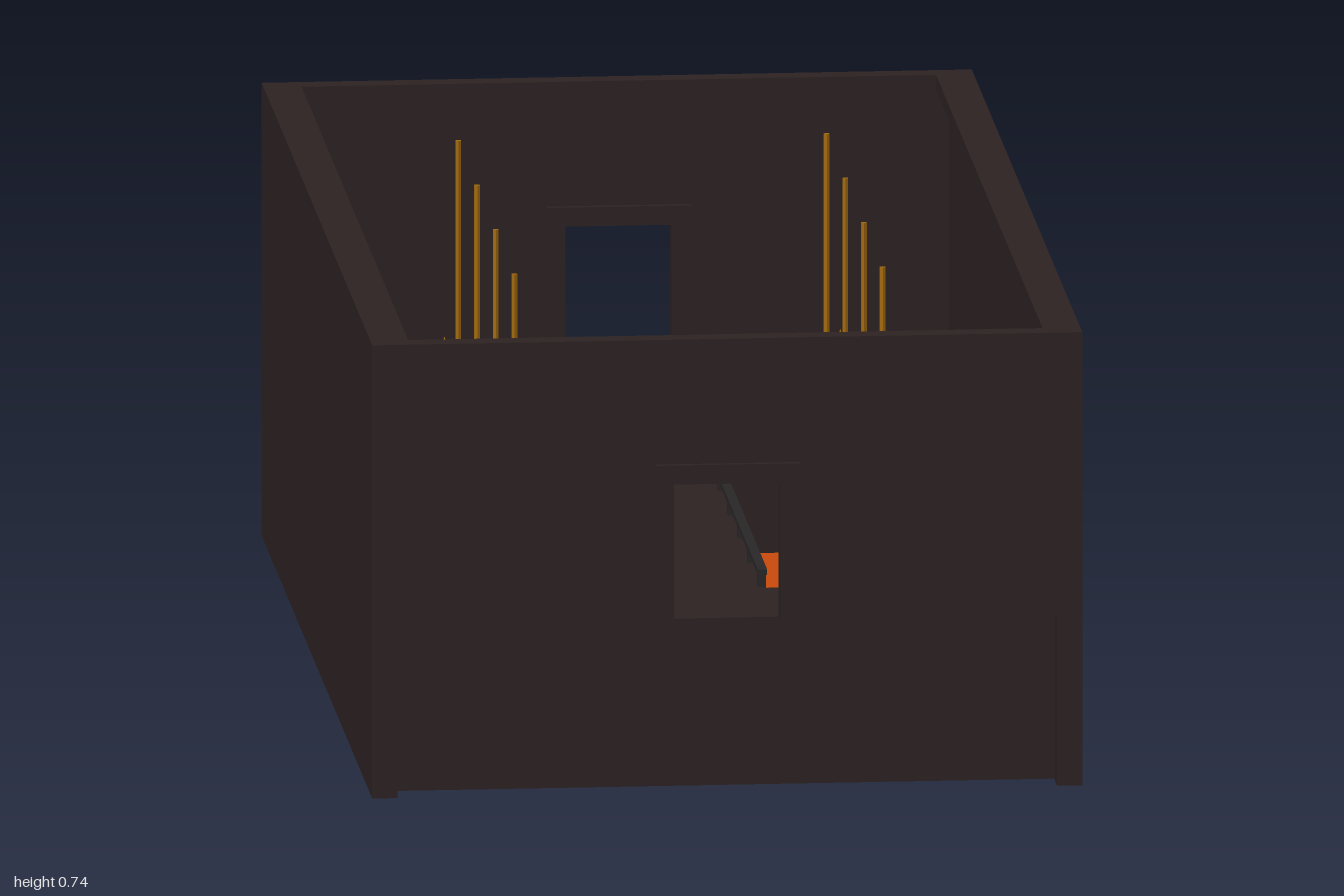
import * as THREE from 'three';

const mat = (name, color) => {
  const m = new THREE.MeshStandardMaterial({ color });
  m.name = name;
  return m;
};

export function createModel() {
  const stone = mat('dark stone', 0x2d2323);
  const lava = mat('glowing lava', 0xcc4b0c);
  const iron = mat('dark iron', 0x292727);
  const gold = mat('aged gold', 0xa36a10);
  iron.flatShading = gold.flatShading = true;

  const model = new THREE.Group();
  model.name = 'lavaHall';

  const add = (name, geometry, material, parent = model) => {
    const mesh = new THREE.Mesh(geometry, material);
    mesh.name = name;
    parent.add(mesh);
    return mesh;
  };
  // Box given by its minimum and maximum corners
  const box = (name, x0, x1, y0, y1, z0, z1, material, parent) => {
    const mesh = add(name, new THREE.BoxGeometry(x1 - x0, y1 - y0, z1 - z0), material, parent);
    mesh.position.set((x0 + x1) / 2, (y0 + y1) / 2, (z0 + z1) / 2);
    return mesh;
  };

  // Lava pool
  box('lavaPool', -0.525, 0.525, 0, 0.012, -0.757, 0.757, lava);

  // Long walls with an inner cornice
  for (const s of [-1, 1]) {
    const side = new THREE.Group();
    side.name = 'sideWall';
    model.add(side);
    const wall = box('wall', 0.525, 0.565, 0, 0.735, -0.99, 0.99, stone, side);
    const cornice = box('cornice', 0.505, 0.525, 0.71, 0.735, -0.955, 0.955, stone, side);
    wall.position.x *= s;
    cornice.position.x *= s;
  }

  // End walls with a doorway, lintel and raised landing
  const face = new THREE.Shape();
  face.moveTo(-0.525, 0.275);
  face.lineTo(-0.085, 0.275);
  face.lineTo(-0.085, 0.503);
  face.lineTo(0.085, 0.503);
  face.lineTo(0.085, 0.275);
  face.lineTo(0.525, 0.275);
  face.lineTo(0.525, 0.735);
  face.lineTo(-0.525, 0.735);
  face.closePath();
  const wallGeometry = new THREE.ExtrudeGeometry(face, { depth: 0.035, bevelEnabled: false });
  for (const turn of [0, Math.PI]) {
    const end = new THREE.Group();
    end.name = turn ? 'backEnd' : 'frontEnd';
    end.rotation.y = turn;
    model.add(end);
    add('endWall', wallGeometry, stone, end).position.z = 0.955;
    box('lintel', -0.115, 0.115, 0.502, 0.533, 0.945, 1.0, stone, end);
    box('landing', -0.525, 0.525, 0.004, 0.275, 0.737, 0.955, stone, end);
  }

  // Central bridge with low railings
  box('bridge', -0.085, 0.085, 0.24, 0.275, -0.737, 0.737, stone);
  for (const s of [-1, 1]) {
    const x = s * 0.0785;
    box('rail', x - 0.0075, x + 0.0075, 0.296, 0.305, -0.737, 0.737, iron);
    for (let i = 0; i < 9; i++) {
      const z = -0.72 + i * 0.18;
      box('railPost', x - 0.006, x + 0.006, 0.275, 0.297, z - 0.01, z + 0.01, iron);
    }
  }

  // Braziers: seven-sided urn, flame finial and hanging chain
  const profile = (pts) => pts.map(([r, y]) => new THREE.Vector2(r, y));
  const urnGeometry = new THREE.LatheGeometry(profile([
    [0.001, 0.004], [0.055, 0.004], [0.05, 0.06], [0.055, 0.13], [0.07, 0.22],
    [0.06, 0.25], [0.066, 0.268], [0.03, 0.275], [0, 0.275],
  ]), 7);
  const flameGeometry = new THREE.LatheGeometry(profile([
    [0.03, 0.274], [0.018, 0.295], [0.012, 0.325], [0.024, 0.345],
    [0.02, 0.37], [0.008, 0.395], [0, 0.418],
  ]), 7);
  const chainGeometry = new THREE.CylinderGeometry(0.005, 0.005, 0.46, 6);
  for (const s of [-1, 1]) {
    for (const z of [-0.53, -0.195, 0.14, 0.475]) {
      const brazier = new THREE.Group();
      brazier.name = 'brazier';
      brazier.position.set(s * 0.315, 0, z);
      model.add(brazier);
      add('urn', urnGeometry, iron, brazier).rotation.y = Math.PI;
      add('flame', flameGeometry, gold, brazier);
      add('chain', chainGeometry, gold, brazier).position.set(-s * 0.022, 0.505, 0);
    }
  }
  return model;
}
